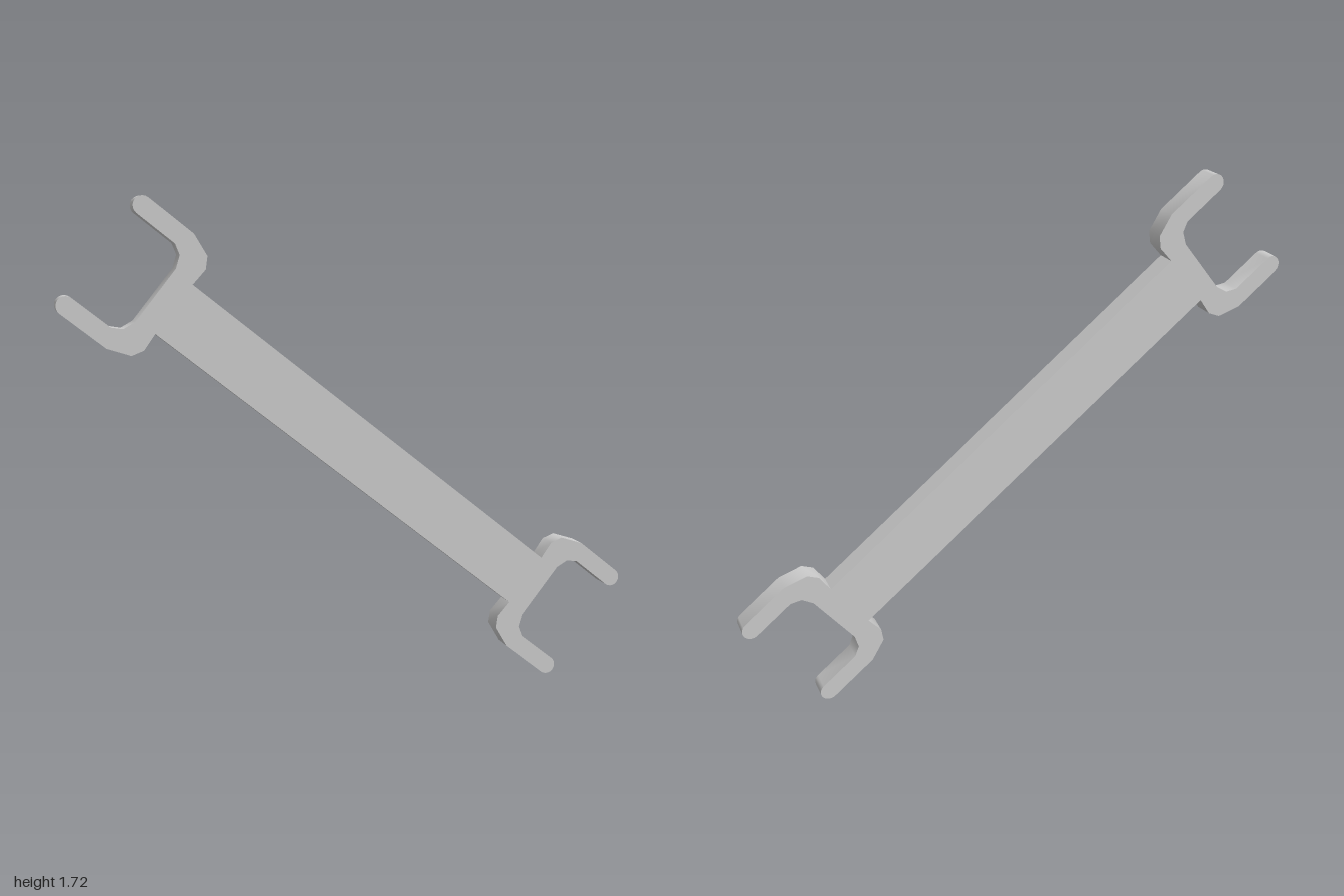
import * as THREE from 'three';
import { toCreasedNormals } from 'three/addons/utils/BufferGeometryUtils.js';

const HALF_THICKNESS = 0.037;
const TILT = -0.673; // the long axis slopes down to the right
const TIP = { u: 1.08, v: 0.201, r: 0.0315 }; // rounded prong end

// Upper half of one forked end, from bar shoulder to the middle of the jaw
function halfFork() {
  const outer = [[0.802, 0.1], [0.798, 0.165], [0.82, 0.203], [0.898, 0.2325]];
  const tip = [];
  for (let i = 0; i <= 10; i++) {
    const a = Math.PI / 2 - (Math.PI * i) / 10;
    tip.push([TIP.u + TIP.r * Math.cos(a), TIP.v + TIP.r * Math.sin(a)]);
  }
  const inner = [[0.927, 0.1695], [0.893, 0.15], [0.876, 0.108]];
  return [...outer, ...tip, ...inner];
}

// Whole outline: the half fork mirrored across the axis, then turned to the other end
function outline() {
  const half = halfFork();
  const fork = [...half, ...half.map(([u, v]) => [u, -v]).reverse()];
  const points = [...fork, ...fork.map(([u, v]) => [-u, -v])];
  return points.map(([u, v]) => new THREE.Vector2(u, v)).reverse();
}

export function createModel() {
  const group = new THREE.Group();
  group.name = 'doubleEndedSpanner';

  const extruded = new THREE.ExtrudeGeometry(new THREE.Shape(outline()), {
    depth: HALF_THICKNESS * 2,
    bevelEnabled: false,
  });
  extruded.translate(0, 0, -HALF_THICKNESS);

  // Bar with a two-pronged jaw at each end
  const body = new THREE.Mesh(
    toCreasedNormals(extruded, 0.85),
    new THREE.MeshStandardMaterial({ color: 0xcccccc })
  );
  body.name = 'barWithForkedJaws';
  body.rotation.z = TILT;
  body.position.y = 0.86;
  group.add(body);

  return group;
}
